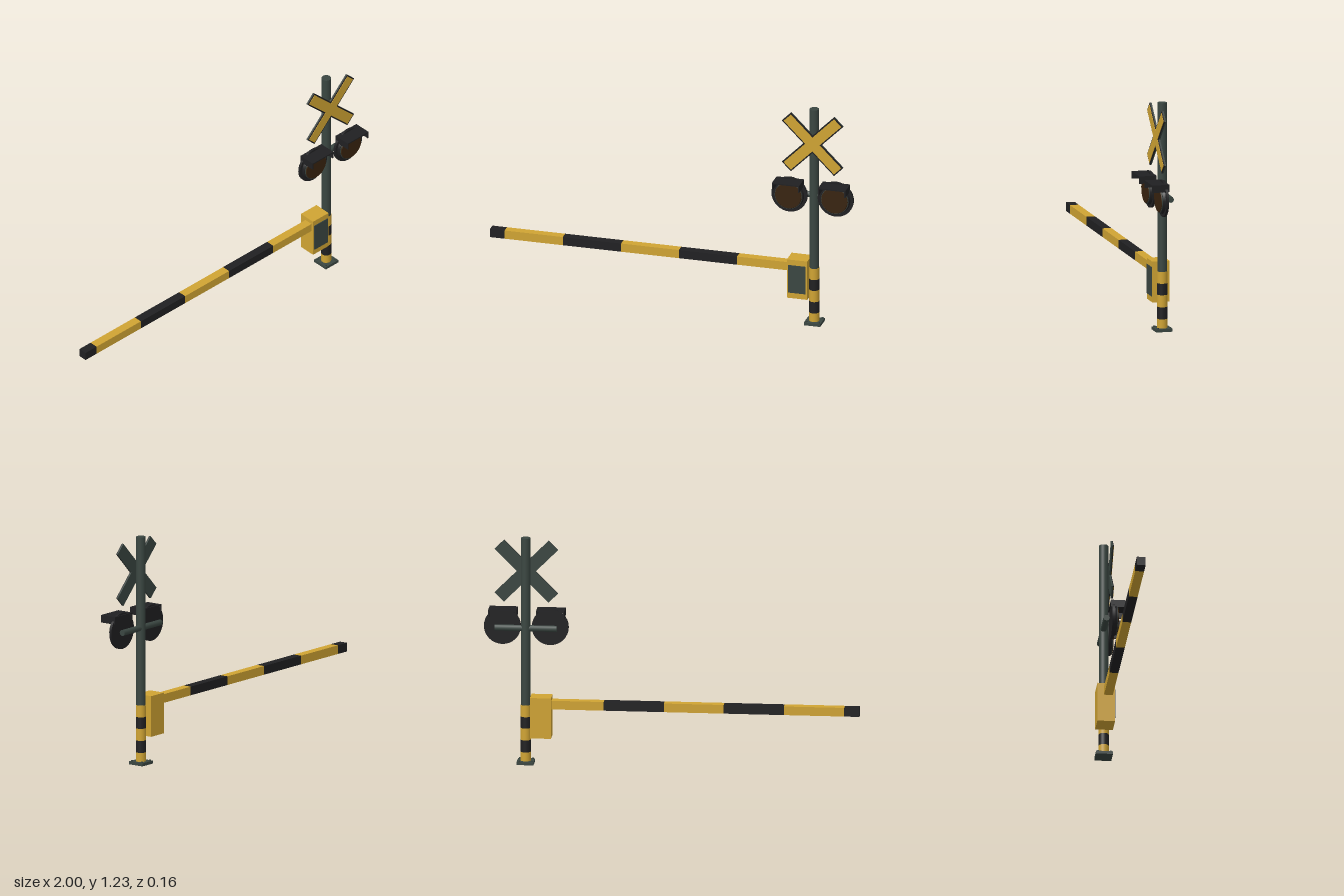
import * as THREE from 'three';

const mat = (name, color) => {
  const m = new THREE.MeshStandardMaterial({ color });
  m.name = name;
  return m;
};

export function createModel() {
  const yellow = mat('yellow paint', 0xd0a433);
  const black = mat('black paint', 0x202022);
  const steel = mat('grey green steel', 0x3a4641);
  const lensBrown = mat('unlit lens', 0x38230f);

  const root = new THREE.Group();
  root.name = 'levelCrossingBarrier';
  const PX = 0.772, PZ = -0.031; // pole axis

  const add = (name, geo, material, x, y, z, parent = root) => {
    const m = new THREE.Mesh(geo, material);
    m.name = name;
    m.position.set(x, y, z);
    parent.add(m);
    return m;
  };
  // box given by its min and max corners
  const box = (name, material, x0, x1, y0, y1, z0, z1, parent = root) =>
    add(name, new THREE.BoxGeometry(x1 - x0, y1 - y0, z1 - z0), material,
      (x0 + x1) / 2, (y0 + y1) / 2, (z0 + z1) / 2, parent);

  // Foot plate with bolts
  box('footPlate', steel, PX - 0.045, PX + 0.045, 0, 0.016, PZ - 0.045, PZ + 0.045);
  for (const sx of [-1, 1]) for (const sz of [-1, 1])
    add('footBolt', new THREE.CylinderGeometry(0.006, 0.006, 0.006, 6), steel,
      PX + sx * 0.034, 0.019, PZ + sz * 0.034);

  // Pole: striped lower sleeve, plain upper part
  const stripes = [0.016, 0.065, 0.13, 0.195, 0.257, 0.32];
  for (let i = 0; i < 5; i++) {
    const h = stripes[i + 1] - stripes[i];
    add('poleStripe', new THREE.CylinderGeometry(0.027, 0.027, h, 24),
      i % 2 ? black : yellow, PX, stripes[i] + h / 2, PZ);
  }
  add('pole', new THREE.CylinderGeometry(0.025, 0.025, 0.915, 24), steel, PX, 0.7725, PZ);

  // Motor housing with front panel
  box('motorHousing', yellow, 0.634, 0.746, 0.148, 0.368, -0.079, 0.015);
  box('housingPanel', steel, 0.641, 0.737, 0.18, 0.337, 0.015, 0.019);

  // Striped boom
  const cuts = [-1, -0.92, -0.6, -0.28, 0.038, 0.357, 0.636];
  for (let i = 0; i < 6; i++)
    box('boomStripe', i % 2 ? yellow : black, cuts[i], cuts[i + 1], 0.3, 0.347, -0.044, 0.003);

  // Crossed warning boards as layered cross plates
  const crossPlate = (name, material, length, width, z0, z1) => {
    const a = length / 2, b = width / 2, s = new THREE.Shape();
    [[a, -b], [a, b], [b, b], [b, a], [-b, a], [-b, b], [-a, b], [-a, -b],
      [-b, -b], [-b, -a], [b, -a], [b, -b]]
      .forEach(([x, y], i) => (i ? s.lineTo(x, y) : s.moveTo(x, y)));
    const g = new THREE.ExtrudeGeometry(s, { depth: z1 - z0, bevelEnabled: false });
    g.rotateZ(Math.PI / 4);
    add(name, g, material, PX, 1.04, z0);
  };
  crossPlate('crossBack', steel, 0.405, 0.07, -0.006, 0.001);
  crossPlate('crossBorder', black, 0.405, 0.07, 0.001, 0.005);
  crossPlate('crossFace', yellow, 0.391, 0.056, 0.005, 0.007);

  // Lamp crossbar
  add('lampBar', new THREE.CylinderGeometry(0.017, 0.017, 0.33, 8).rotateZ(Math.PI / 2),
    steel, PX, 0.737, -0.033);

  // Twin lamps: backing disc, housing ring, lens and hood
  const disc = (r0, r1, d) => new THREE.CylinderGeometry(r0, r1, d, 32).rotateX(Math.PI / 2);
  for (const side of [-1, 1]) {
    const lamp = new THREE.Group();
    lamp.name = side < 0 ? 'rightLamp' : 'leftLamp';
    lamp.position.set(PX + side * 0.127, 0.739, 0);
    root.add(lamp);
    add('lampDisc', disc(0.098, 0.098, 0.014), black, 0, 0, 0, lamp);
    add('lampRing', disc(0.078, 0.082, 0.014), black, 0, 0, 0.014, lamp);
    add('lampRim', disc(0.075, 0.075, 0.004), steel, 0, 0, 0.023, lamp);
    add('lampLens', disc(0.07, 0.073, 0.004), lensBrown, 0, 0, 0.027, lamp);
    box('hoodTop', black, -0.075, 0.075, 0.08, 0.087, -0.014, 0.08, lamp);
    for (const s of [-1, 1])
      box('hoodSide', black, s * 0.072 - 0.003, s * 0.072 + 0.003, 0.047, 0.08, -0.014, 0.08, lamp);
  }
  return root;
}
